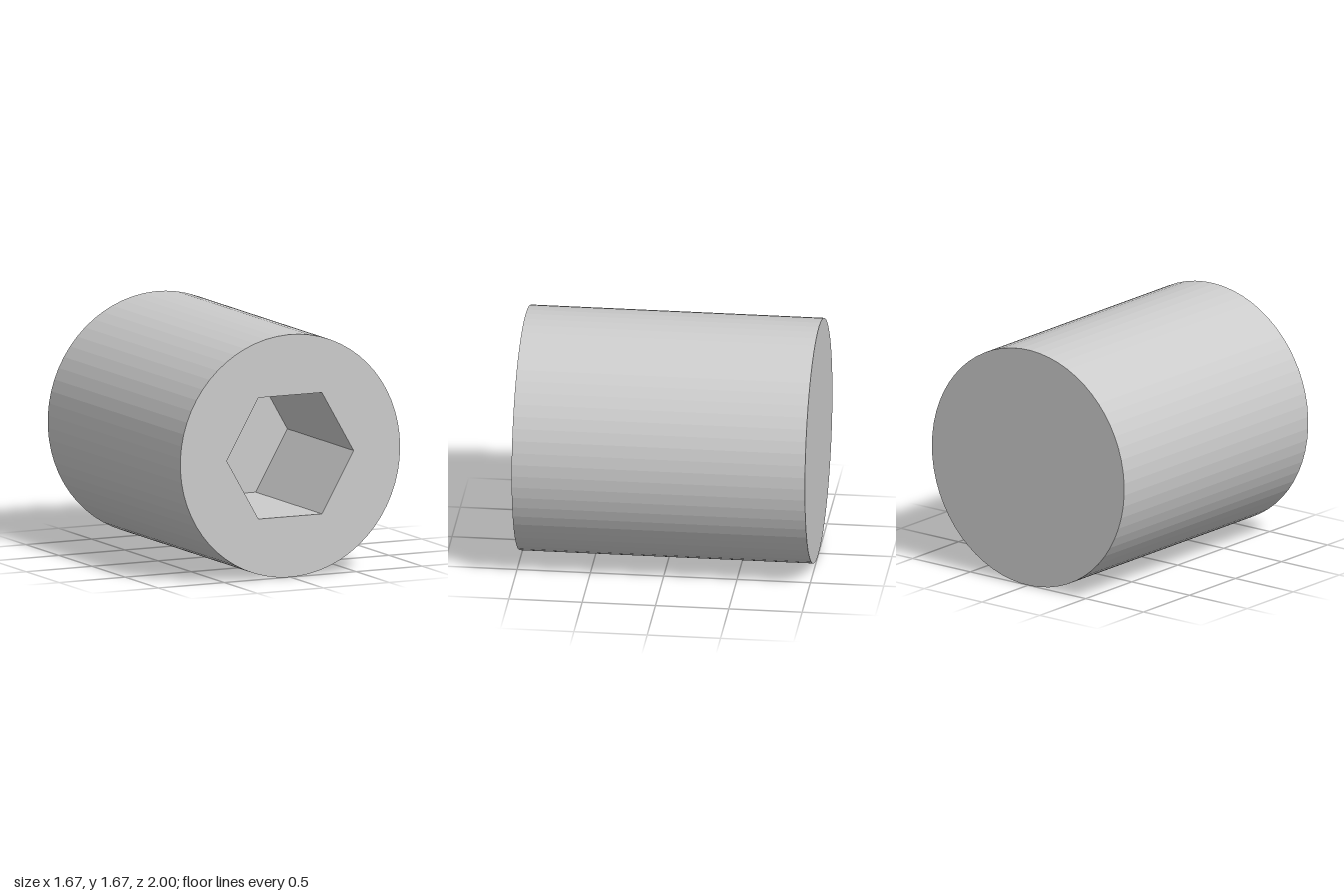
import * as THREE from 'three';

const RADIUS = 0.8333, SIDES = 63, HEX_RADIUS = 0.4811;
const FRONT = 1, BACK = -1, SOCKET_DEPTH = 1;

// Points of a regular polygon, counter-clockwise from +x
function polygon(radius, sides) {
  return Array.from({ length: sides }, (_, i) => {
    const a = (i / sides) * Math.PI * 2;
    return new THREE.Vector2(radius * Math.cos(a), radius * Math.sin(a));
  });
}

// Straight extrusion of a shape from z0 to z1
function extrude(shape, z0, z1) {
  const geo = new THREE.ExtrudeGeometry(shape, { depth: z1 - z0, bevelEnabled: false });
  return geo.translate(0, 0, z0);
}

// Drops the cap triangles that lie in the plane z, leaving an open end
function openEnd(geo, z) {
  const p = geo.attributes.position, kept = [];
  for (let i = 0; i < p.count; i += 3) {
    if ([0, 1, 2].every(k => Math.abs(p.getZ(i + k) - z) < 1e-4)) continue;
    for (let k = 0; k < 3; k++) kept.push(p.getX(i + k), p.getY(i + k), p.getZ(i + k));
  }
  const out = new THREE.BufferGeometry();
  out.setAttribute('position', new THREE.Float32BufferAttribute(kept, 3));
  out.computeVertexNormals();
  return out;
}

export function createModel() {
  const group = new THREE.Group();
  group.name = 'socketSetScrew';
  const material = new THREE.MeshStandardMaterial({ color: 0xcccccc, flatShading: true });
  const add = (name, geo) => {
    const mesh = new THREE.Mesh(geo, material);
    mesh.name = name;
    mesh.position.y = RADIUS;
    group.add(mesh);
  };
  const floorZ = FRONT - SOCKET_DEPTH;

  // Front half, with the hexagonal socket running through it
  const ring = new THREE.Shape(polygon(RADIUS, SIDES));
  ring.holes.push(new THREE.Path(polygon(HEX_RADIUS, 6)));
  add('socketBody', openEnd(extrude(ring, floorZ, FRONT), floorZ));

  // Solid back half
  const disc = new THREE.Shape(polygon(RADIUS, SIDES));
  add('solidBody', openEnd(extrude(disc, BACK, floorZ), floorZ));

  // Flat floor closing the socket
  const floor = new THREE.ShapeGeometry(new THREE.Shape(polygon(HEX_RADIUS, 6)));
  add('socketFloor', floor.translate(0, 0, floorZ));

  return group;
}
